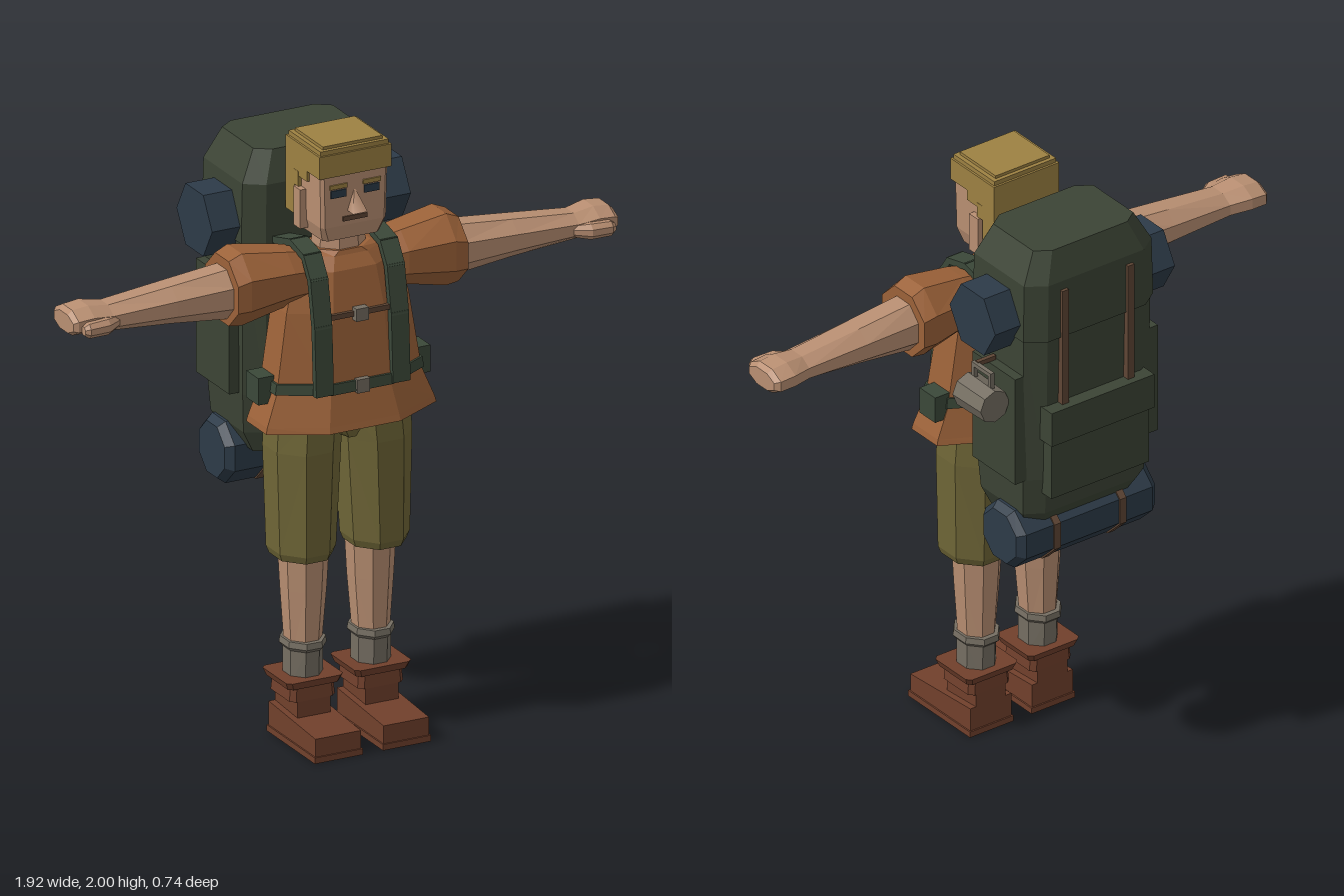
import * as THREE from 'three';

const mat = (name, color) => Object.assign(new THREE.MeshStandardMaterial({ color }), { name });
const M = {
  skin: mat('skin', 0xb98f72), hair: mat('blond hair', 0x9d8142), shirt: mat('rust shirt', 0x9c6239),
  shorts: mat('olive shorts', 0x6f6637), pack: mat('dark green canvas', 0x3c4435), roll: mat('blue roll', 0x2d3b48),
  boot: mat('boot leather', 0x71402c), gray: mat('gray wool and tin', 0x756e62),
  brown: mat('brown strap', 0x5f4635), strap: mat('green webbing', 0x3b4839),
};

// Flat-shaded loft through chamfered rings: [pos, cx, cz, rx, rz, chamfer]
function loft(sections, axis = 'y') {
  const rings = sections.map(([y, cx, cz, rx, rz, k = 0.586]) => {
    const q = 1 - k;
    return [[1, -q], [1, q], [q, 1], [-q, 1], [-1, q], [-1, -q], [-q, -1], [q, -1]]
      .map(([a, b]) => [cx + a * rx, y, cz + b * rz]);
  });
  const out = [], tri = (...p) => p.forEach(v => out.push(...v));
  rings.forEach((r, i) => {
    const next = rings[i + 1];
    for (let j = 0; next && j < 8; j++) {
      const n = (j + 1) % 8;
      tri(r[j], next[j], next[n]);
      tri(r[j], next[n], r[n]);
    }
  });
  const lo = rings[0], hi = rings[rings.length - 1];
  for (let j = 1; j < 7; j++) {
    tri(lo[0], lo[j], lo[j + 1]);
    tri(hi[0], hi[j + 1], hi[j]);
  }
  const g = new THREE.BufferGeometry();
  g.setAttribute('position', new THREE.Float32BufferAttribute(out, 3));
  if (axis === 'x') g.rotateZ(-Math.PI / 2); // ring x becomes -y
  g.computeVertexNormals();
  return g;
}

// Box from its limits
function box(x0, x1, y0, y1, z0, z1) {
  return new THREE.BoxGeometry(x1 - x0, y1 - y0, z1 - z0)
    .translate((x0 + x1) / 2, (y0 + y1) / 2, (z0 + z1) / 2);
}

// Mirror across x = 0, keeping the faces outward
function mirrored(geo) {
  const g = geo.index ? geo.toNonIndexed() : geo.clone();
  const p = g.attributes.position;
  const v = i => new THREE.Vector3().fromBufferAttribute(p, i);
  for (let i = 0; i < p.count; i += 3) {
    const t = [v(i), v(i + 2), v(i + 1)];
    t.forEach((a, k) => p.setXYZ(i + k, -a.x, a.y, a.z));
  }
  g.computeVertexNormals();
  return g;
}

export function createModel() {
  const root = new THREE.Group();
  const add = (name, geo, material) => {
    const m = new THREE.Mesh(geo, material);
    m.name = name;
    root.add(m);
  };
  const pair = (name, geo, material) => {
    add('left' + name, geo, material);
    add('right' + name, mirrored(geo), material);
  };

  // Head and face
  add('head', loft([[1.68, 0, 0.145, 0.1, 0.09, 0.15], [1.73, 0, 0.145, 0.115, 0.103, 0.1],
    [1.92, 0, 0.145, 0.118, 0.105, 0.08]]), M.skin);
  add('neck', loft([[1.58, 0, 0.14, 0.085, 0.075], [1.7, 0, 0.14, 0.075, 0.068]]), M.skin);
  const nose = new THREE.ConeGeometry(0.036, 0.075, 4, 1).rotateY(Math.PI / 4);
  {
    const p = nose.attributes.position; // slope the nose forward to its tip
    for (let i = 0; i < p.count; i++) p.setZ(i, p.getY(i) > 0 ? 0.245 : p.getZ(i) > 0 ? 0.287 : 0.245);
    nose.translate(0, 1.815, 0);
    nose.computeVertexNormals();
  }
  add('nose', nose.toNonIndexed(), M.skin);
  pair('Ear', box(0.11, 0.137, 1.7, 1.83, 0.1, 0.145), M.skin);
  pair('Eye', box(0.032, 0.085, 1.828, 1.853, 0.246, 0.254), M.roll);
  pair('Brow', box(0.028, 0.09, 1.858, 1.872, 0.246, 0.255), M.hair);
  add('mouth', box(-0.042, 0.042, 1.745, 1.76, 0.246, 0.253), M.brown);

  // Stepped flat-top hair
  add('hairCap', box(-0.127, 0.127, 1.9, 1.975, 0.03, 0.255), M.hair);
  add('hairStep', box(-0.12, 0.12, 1.97, 1.99, 0.037, 0.248), M.hair);
  add('hairTop', box(-0.105, 0.105, 1.985, 2.0, 0.05, 0.235), M.hair);
  add('hairBack', box(-0.127, 0.127, 1.73, 1.91, 0.03, 0.09), M.hair);
  pair('HairSide', box(0.11, 0.127, 1.865, 1.91, 0.08, 0.17), M.hair);
  pair('Sideburn', box(0.11, 0.128, 1.83, 1.88, 0.085, 0.115), M.hair);

  // Shirt
  add('shirt', loft([[1.07, 0, 0.16, 0.3, 0.16], [1.09, 0, 0.16, 0.295, 0.155], [1.19, 0, 0.155, 0.255, 0.137],
    [1.45, 0, 0.15, 0.215, 0.125], [1.58, 0, 0.145, 0.18, 0.105], [1.62, 0, 0.14, 0.14, 0.085],
    [1.635, 0, 0.14, 0.095, 0.08]]), M.shirt);
  pair('Sleeve', loft([[0.11, -1.545, 0.135, 0.08, 0.08], [0.2, -1.555, 0.135, 0.09, 0.1],
    [0.36, -1.55, 0.13, 0.12, 0.116], [0.405, -1.543, 0.13, 0.108, 0.11]], 'x'), M.shirt);

  // Arms, hands and thumbs
  pair('Arm', loft([[0.38, -1.537, 0.13, 0.085, 0.08], [0.6, -1.538, 0.13, 0.062, 0.075],
    [0.82, -1.535, 0.13, 0.043, 0.066], [0.89, -1.543, 0.122, 0.045, 0.08],
    [0.945, -1.54, 0.122, 0.042, 0.078], [0.96, -1.538, 0.125, 0.03, 0.065]], 'x'), M.skin);
  pair('Thumb', loft([[0.8, -1.53, 0.18, 0.018, 0.018], [0.85, -1.53, 0.205, 0.026, 0.026],
    [0.92, -1.53, 0.212, 0.024, 0.022], [0.935, -1.53, 0.21, 0.014, 0.014]], 'x'), M.skin);

  // Shorts
  pair('ShortsLeg', loft([[0.615, 0.13, 0.137, 0.09, 0.103], [0.64, 0.13, 0.137, 0.099, 0.114],
    [0.98, 0.125, 0.133, 0.113, 0.12], [1.1, 0.115, 0.13, 0.115, 0.118]]), M.shorts);
  add('shortsSeat', loft([[1.01, 0, 0.135, 0.03, 0.1], [1.08, 0, 0.135, 0.12, 0.115]]), M.shorts);

  // Legs, socks and boots
  const x = 0.12;
  pair('Leg', loft([[0.28, x, 0.13, 0.052, 0.058], [0.5, x - 0.002, 0.13, 0.068, 0.07],
    [0.66, x - 0.002, 0.13, 0.076, 0.078]]), M.skin);
  pair('Sock', loft([[0.19, x, 0.13, 0.057, 0.062], [0.3, x, 0.13, 0.057, 0.066]]), M.gray);
  pair('SockCuff', loft([[0.3, x, 0.13, 0.058, 0.068], [0.312, x, 0.13, 0.067, 0.08],
    [0.332, x, 0.13, 0.064, 0.077]]), M.gray);
  pair('BootCollar', loft([[0.19, x, 0.13, 0.09, 0.083, 0.15], [0.215, x, 0.13, 0.1, 0.092, 0.15]]), M.boot);
  pair('BootCuff', loft([[0.145, x, 0.13, 0.08, 0.078, 0.2], [0.2, x, 0.13, 0.075, 0.075, 0.2]]), M.boot);
  pair('BootAnkle', box(x - 0.058, x + 0.058, 0.08, 0.15, 0.055, 0.205), M.boot);
  const foot = box(0.04, 0.2, 0.015, 0.1, 0.055, 0.365);
  const fp = foot.attributes.position; // lower the toe
  for (let i = 0; i < fp.count; i++) if (fp.getY(i) > 0.05 && fp.getZ(i) > 0.2) fp.setY(i, 0.08);
  foot.computeVertexNormals();
  pair('BootFoot', foot, M.boot);
  pair('BootSole', box(0.035, 0.205, 0, 0.02, 0.05, 0.37), M.boot);

  // Belt, buckles and pouches
  add('belt', loft([[1.19, 0, 0.155, 0.262, 0.146], [1.225, 0, 0.155, 0.257, 0.143]]), M.strap);
  add('beltBuckle', box(-0.022, 0.022, 1.185, 1.23, 0.29, 0.31), M.gray);
  pair('BeltPouch', box(0.205, 0.303, 1.152, 1.242, 0.1, 0.18), M.strap);

  // Shoulder straps running over the shoulder to the pack
  const path = [[1.2, 0.296], [1.42, 0.285], [1.57, 0.258], [1.635, 0.215], [1.655, 0.13], [1.62, 0]];
  path.slice(1).forEach(([y, z], i) => {
    const [py, pz] = path[i], len = Math.hypot(y - py, z - pz);
    const g = new THREE.BoxGeometry(0.062, len + 0.012, 0.022)
      .rotateX(Math.atan2(z - pz, y - py))
      .translate(0.135, (y + py) / 2, (z + pz) / 2);
    pair('ShoulderStrap' + i, g, M.strap);
  });
  add('chestStrap', box(-0.11, 0.11, 1.435, 1.452, 0.272, 0.286), M.brown);
  add('chestBuckle', box(-0.022, 0.022, 1.422, 1.464, 0.275, 0.302), M.gray);

  // Backpack body, lid and pockets
  add('packBody', loft([[0.9, 0, -0.14, 0.2, 0.12, 0.25], [0.97, 0, -0.155, 0.235, 0.145, 0.25],
    [1.1, 0, -0.155, 0.243, 0.158, 0.25], [1.63, 0, -0.157, 0.247, 0.168, 0.25]]), M.pack);
  add('packLid', loft([[1.61, 0, -0.158, 0.253, 0.175, 0.25], [1.81, 0, -0.158, 0.248, 0.172, 0.25],
    [1.91, 0, -0.16, 0.195, 0.137, 0.25]]), M.pack);
  pair('SidePocket', box(0.23, 0.278, 1.1, 1.48, -0.28, -0.06), M.pack);
  add('backPocket', box(-0.19, 0.19, 1.05, 1.3, -0.35, -0.28), M.pack);
  add('backPocketFlap', box(-0.2, 0.2, 1.25, 1.37, -0.366, -0.28), M.pack);
  pair('LidStrap', box(0.115, 0.14, 1.36, 1.78, -0.342, -0.31), M.brown);

  // Upper bedroll through the lid, hexagonal with its corners fore and aft
  const upper = new THREE.CylinderGeometry(0.118, 0.118, 0.7, 6).rotateZ(Math.PI / 2);
  add('upperRoll', upper.clone().toNonIndexed().translate(0, 1.665, -0.155), M.roll);
  root.children[root.children.length - 1].geometry.computeVertexNormals();

  // Lower bedroll with bands
  add('lowerRoll', loft([[-0.27, -0.87, -0.19, 0.085, 0.085], [-0.245, -0.87, -0.19, 0.103, 0.106],
    [0.245, -0.87, -0.19, 0.103, 0.106], [0.27, -0.87, -0.19, 0.085, 0.085]], 'x'), M.roll);
  pair('RollBand', loft([[0.115, -0.87, -0.19, 0.108, 0.111], [0.14, -0.87, -0.19, 0.108, 0.111]], 'x'), M.brown);

  // Tin mug hanging from the left side pocket
  const mug = new THREE.CylinderGeometry(0.06, 0.056, 0.14, 8).rotateX(Math.PI / 2).toNonIndexed()
    .translate(0.33, 1.385, -0.175);
  mug.computeVertexNormals();
  add('mug', mug, M.gray);
  [-0.13, -0.215].forEach((z, i) => add('mugHandleSide' + i, box(0.315, 0.33, 1.43, 1.49, z - 0.007, z + 0.007), M.gray));
  add('mugHandleBar', box(0.315, 0.33, 1.478, 1.492, -0.222, -0.123), M.gray);
  add('mugHanger', box(0.25, 0.32, 1.48, 1.495, -0.145, -0.13), M.brown);

  return root;
}
